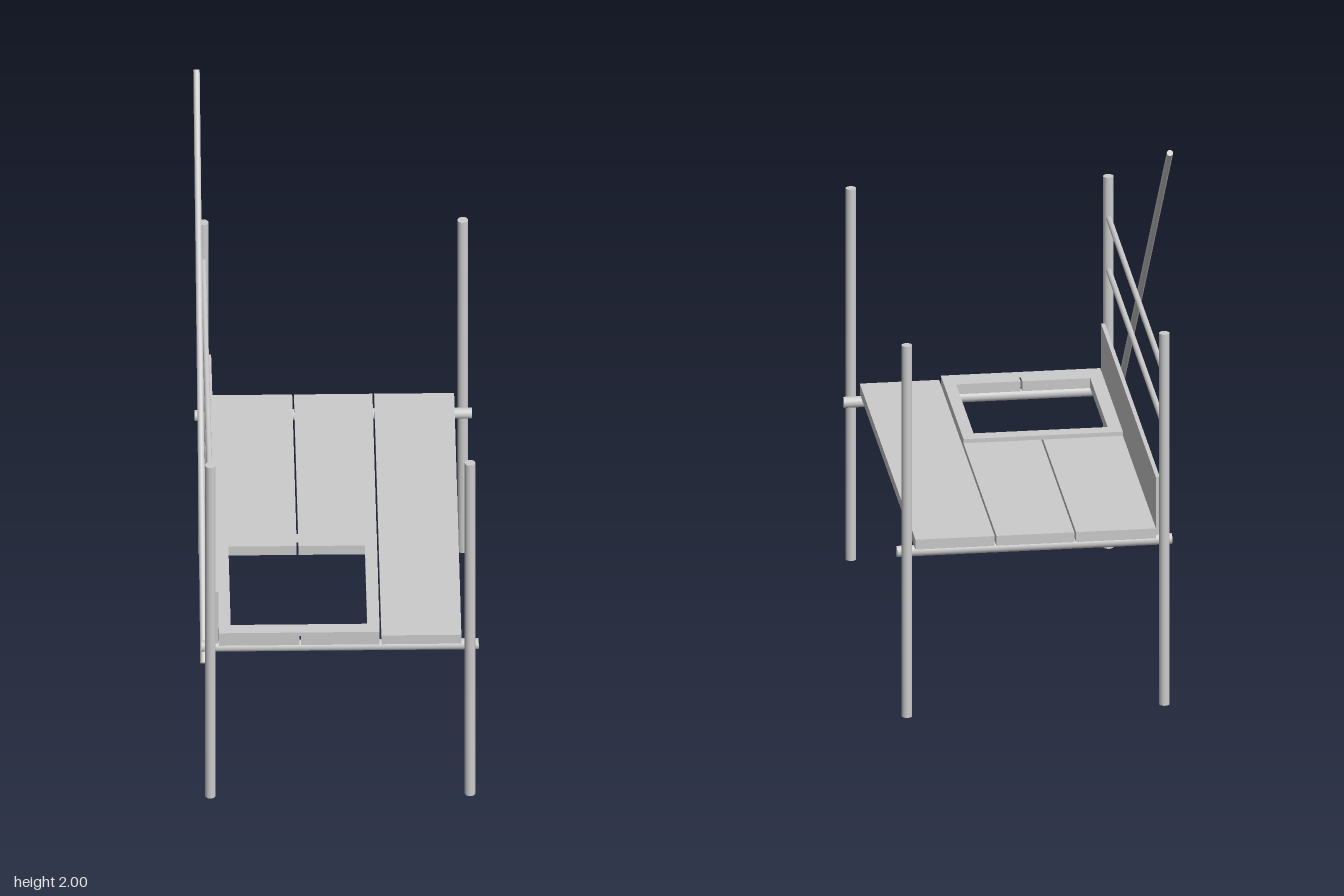
import * as THREE from 'three';

const mat = new THREE.MeshStandardMaterial({ color: 0xcccccc });

export function createModel() {
  const model = new THREE.Group();

  const add = (name, geometry) => {
    const mesh = new THREE.Mesh(geometry, mat);
    mesh.name = name;
    model.add(mesh);
    return mesh;
  };

  // Round pole between two points
  const pole = (name, a, b, r) => {
    const from = new THREE.Vector3(...a), to = new THREE.Vector3(...b);
    const dir = to.clone().sub(from);
    const mesh = add(name, new THREE.CylinderGeometry(r, r, dir.length(), 24));
    mesh.position.copy(from).add(to).multiplyScalar(0.5);
    mesh.quaternion.setFromUnitVectors(new THREE.Vector3(0, 1, 0), dir.normalize());
  };

  // Flat slab from an outline of [x, z] points, with an optional hole
  const slab = (name, outline, y0, y1, hole) => {
    const toPoints = (list) => list.map(([x, z]) => new THREE.Vector2(x, -z));
    const shape = new THREE.Shape(toPoints(outline));
    if (hole) shape.holes.push(new THREE.Path(toPoints(hole)));
    const geometry = new THREE.ExtrudeGeometry(shape, { depth: y1 - y0, bevelEnabled: false });
    geometry.rotateX(-Math.PI / 2).translate(0, y0, 0);
    add(name, geometry);
  };
  const rect = (x0, x1, z0, z1) => [[x0, z0], [x1, z0], [x1, z1], [x0, z1]];

  // Corner posts
  for (const x of [-0.44, 0.44])
    for (const z of [-0.737, 0.737]) pole('post', [x, 0, z], [x, 1.35, z], 0.018);

  // Cross bearers under the deck
  for (const z of [-0.7, 0.7]) pole('bearer', [-0.47, 0.586, z], [0.47, 0.586, z], 0.019);

  // Deck planks; two of them are notched around the hatch opening
  const back = -0.74, front = 0.727, h0 = 0.18, h1 = 0.677, hx0 = -0.37, hx1 = 0.093;
  const y0 = 0.605, y1 = 0.641;
  const notched = (outer, inner, cut) => [
    [outer, back], [inner, back], [inner, h0], [cut, h0],
    [cut, h1], [inner, h1], [inner, front], [outer, front],
  ];
  slab('notchedPlank', notched(-0.411, -0.138, hx0), y0, y1);
  slab('notchedPlank', notched(0.134, -0.132, hx1), y0, y1);
  slab('plank', rect(0.14, 0.411, back, front), y0, y1);

  // Raised hatch frame
  slab('hatchFrame', rect(-0.411, 0.134, 0.13, front), y1, 0.656, rect(hx0, hx1, h0, h1));

  // Toe board along the guarded side
  add('toeBoard', new THREE.BoxGeometry(0.014, 0.21, 1.44)).position.set(-0.42, 0.715, 0);

  // Ledger behind the toe board, then the guard rails
  pole('ledger', [-0.44, 0.71, -0.725], [-0.44, 0.71, 0.725], 0.014);
  for (const y of [1.01, 1.2]) pole('guardRail', [-0.44, y, -0.725], [-0.44, y, 0.725], 0.01);

  // Long diagonal brace
  pole('brace', [-0.463, 0.525, 0.713], [-0.463, 1.992, -0.708], 0.011);

  return model;
}
